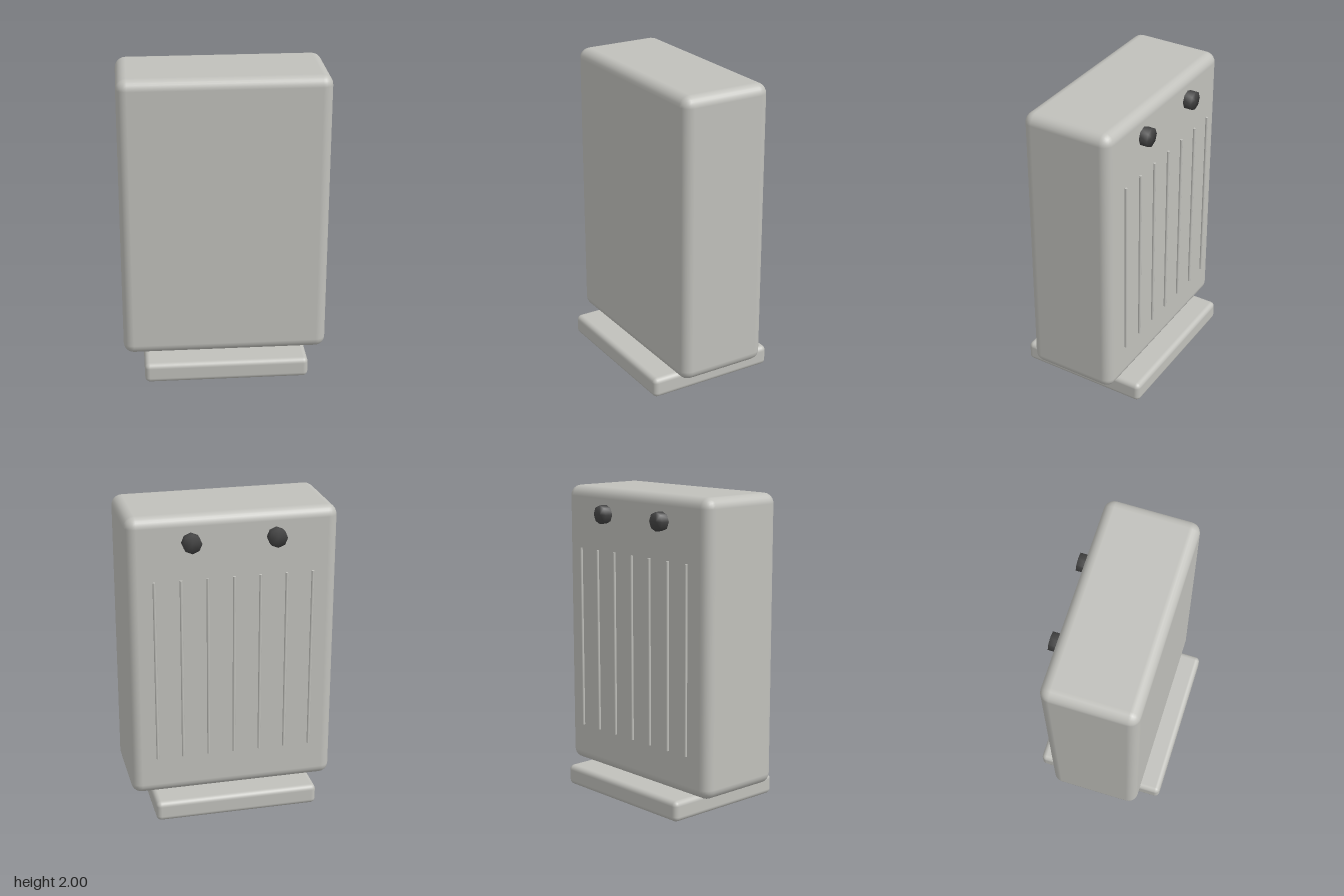
import * as THREE from 'three';
import { RoundedBoxGeometry } from 'three/addons/geometries/RoundedBoxGeometry.js';
import { mergeVertices } from 'three/addons/utils/BufferGeometryUtils.js';

export function createModel() {
  const model = new THREE.Group();
  model.name = 'cabinet';

  const casing = new THREE.MeshStandardMaterial({ color: 0xc0c0bb });
  casing.name = 'warm grey casing';
  const dark = new THREE.MeshStandardMaterial({ color: 0x444444 });
  dark.name = 'dark grey knob';

  const add = (name, geometry, material, x, y, z) => {
    const mesh = new THREE.Mesh(geometry, material);
    mesh.name = name;
    mesh.position.set(x, y, z);
    model.add(mesh);
    return mesh;
  };

  // Slab body standing on a narrower, deeper foot
  add('body', new RoundedBoxGeometry(1.33, 1.865, 0.6, 3, 0.067), casing, 0, 1.0675, 0);
  add('base', new RoundedBoxGeometry(1.064, 0.134, 0.866, 3, 0.033), casing, 0, 0.067, 0);

  // Row of thin vertical ribs on the back
  const ribGeometry = new THREE.CylinderGeometry(0.009, 0.009, 1.2, 8);
  for (let i = -3; i <= 3; i++) {
    add('backRib', ribGeometry, casing, i / 6, 1, -0.32);
  }

  // Two soft-shaded knobs near the top of the back
  let knobGeometry = new THREE.CylinderGeometry(0.06, 0.06, 0.107, 8);
  knobGeometry.deleteAttribute('normal');
  knobGeometry.deleteAttribute('uv');
  knobGeometry = mergeVertices(knobGeometry);
  knobGeometry.computeVertexNormals();
  knobGeometry.rotateX(-Math.PI / 2);
  for (const side of [-1, 1]) {
    add(side > 0 ? 'leftKnob' : 'rightKnob', knobGeometry, dark, side * 0.266, 1.836, -0.3);
  }

  return model;
}
